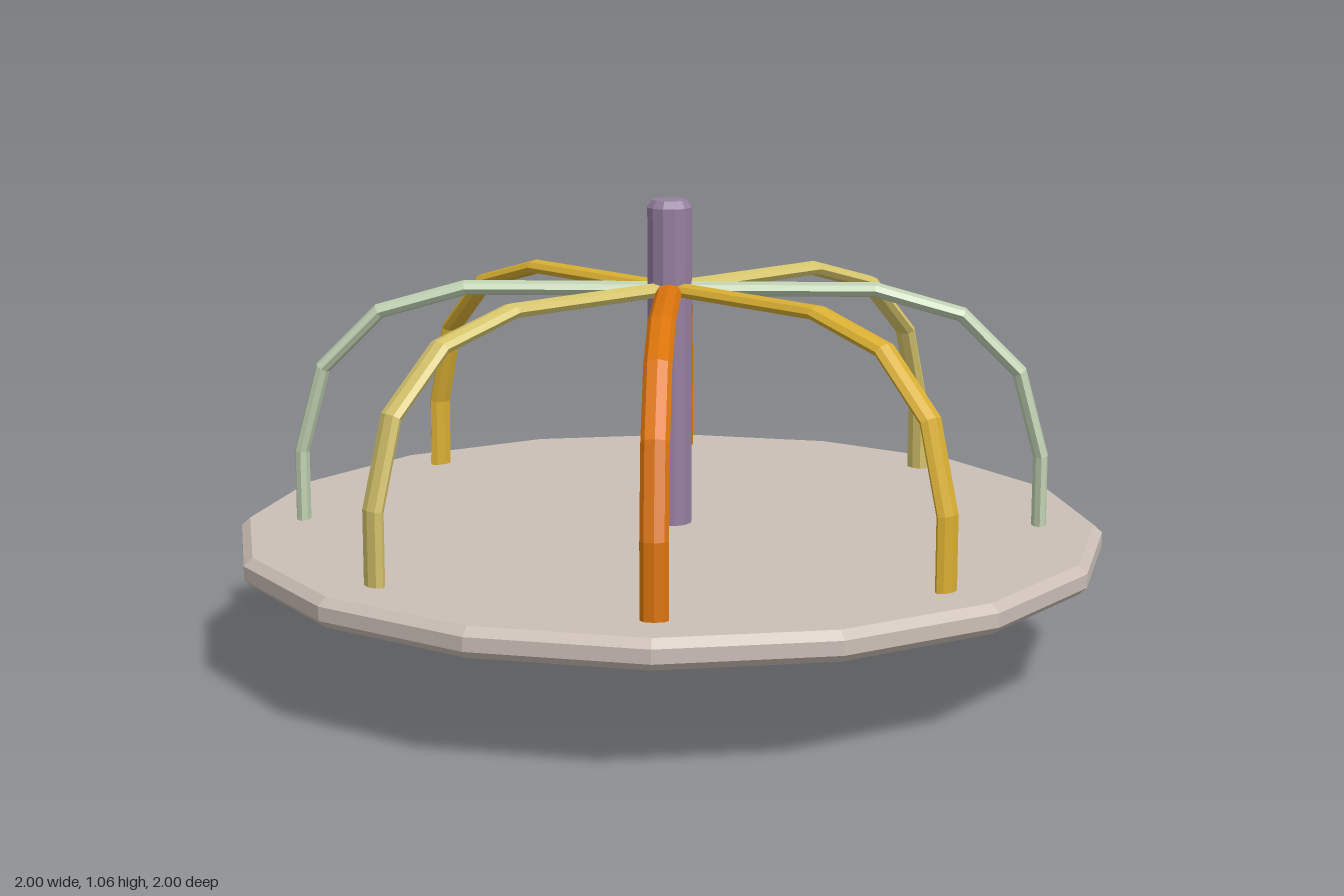
import * as THREE from 'three';

const mat = (name, color, extra = {}) => {
  const m = new THREE.MeshStandardMaterial({ color, flatShading: true, ...extra });
  m.name = name;
  return m;
};

const v = (x, y) => new THREE.Vector2(x, y);

// Sweeps a flattened oval along a path in the XY plane, with mitred bends
function sweepOval(path, thick, wide, sides) {
  const pos = [], index = [];
  path.forEach((p, i) => {
    const before = p.clone().sub(path[Math.max(i - 1, 0)]).normalize();
    const after = path[Math.min(i + 1, path.length - 1)].clone().sub(p).normalize();
    const t = before.clone().add(after).normalize();
    const mitre = 1 / t.dot(i ? before : after);
    for (let j = 0; j < sides; j++) {
      const a = (j / sides) * Math.PI * 2;
      const r = Math.cos(a) * thick * mitre;
      pos.push(p.x - t.y * r, p.y + t.x * r, Math.sin(a) * wide);
      if (i < path.length - 1) {
        const k = (j + 1) % sides, s = i * sides, n = s + sides;
        index.push(s + j, s + k, n + j, s + k, n + k, n + j);
      }
    }
  });
  const g = new THREE.BufferGeometry();
  g.setAttribute('position', new THREE.Float32BufferAttribute(pos, 3));
  g.setIndex(index);
  g.computeVertexNormals();
  return g;
}

export function createModel() {
  const group = new THREE.Group();
  const add = (name, geometry, material) => {
    const mesh = new THREE.Mesh(geometry, material);
    mesh.name = name;
    group.add(mesh);
    return mesh;
  };

  // Sixteen-sided platform with bevelled rim
  add('platform', new THREE.LatheGeometry(
    [v(0, 0.24), v(0.98, 0.24), v(1, 0.258), v(1, 0.289), v(0.98, 0.307), v(0, 0.307)], 16),
  mat('platformBeige', 0xcbbfb6));

  // Central pole, open underneath, bevelled on top
  add('centrePole', new THREE.LatheGeometry(
    [v(0.052, 0), v(0.052, 1.04), v(0.04, 1.057), v(0, 1.057)], 12),
  mat('polePurple', 0x957f9f, { side: THREE.DoubleSide }));

  // Eight bent handrails, opposite ones sharing a colour
  const rail = sweepOval([v(0.853, 0.27), v(0.853, 0.47), v(0.8, 0.665), v(0.667, 0.797),
    v(0.468, 0.853), v(0, 0.853)], 0.017, 0.03, 8);
  const colours = [
    mat('paleYellow', 0xd6c56c), mat('orange', 0xdb740c),
    mat('gold', 0xd8ae32), mat('paleGreen', 0xc0d1b2),
  ];
  for (let k = 0; k < 8; k++) {
    add('handrail' + (k + 1), rail, colours[k % 4]).rotation.y = (k * Math.PI) / 4;
  }
  return group;
}
